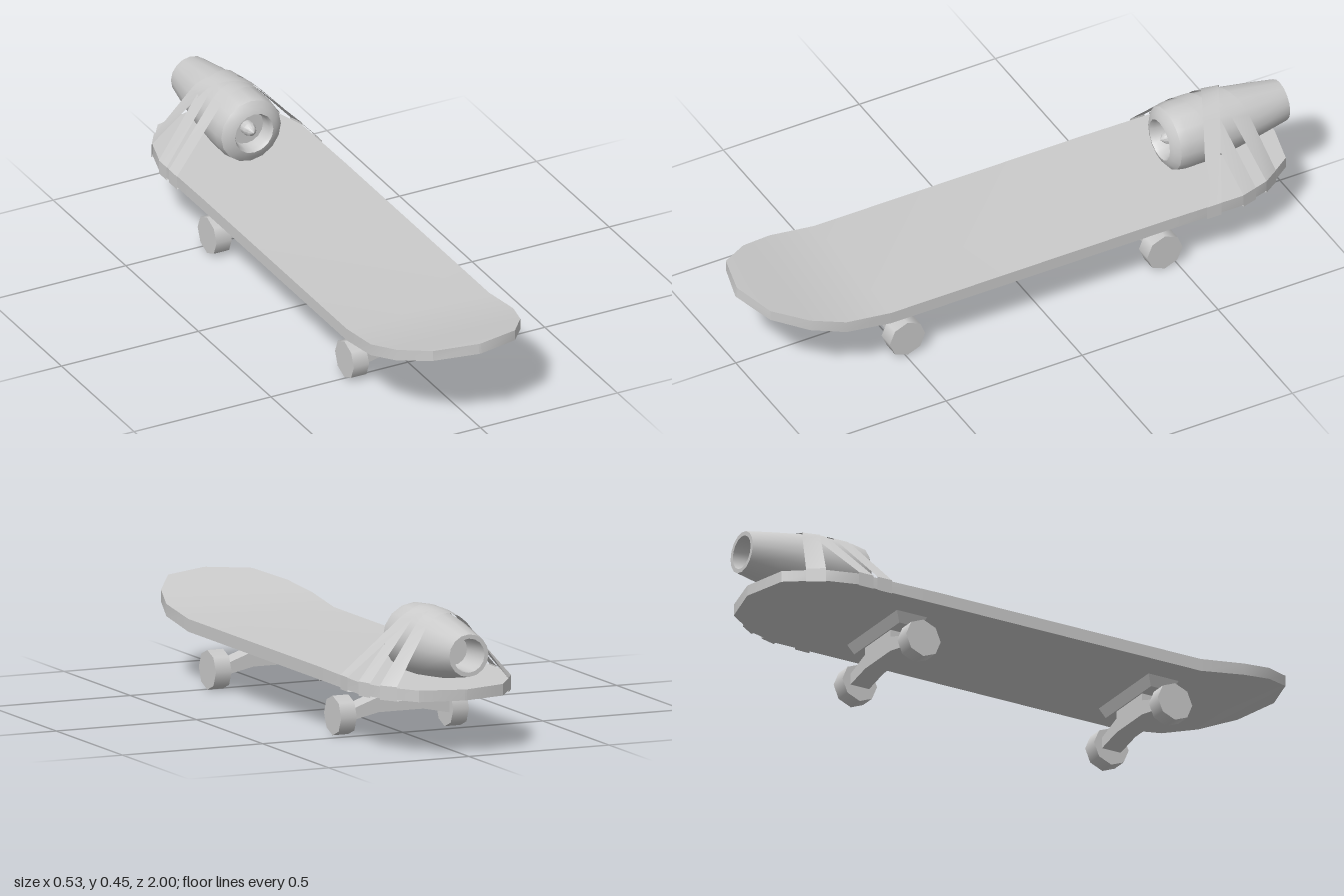
import * as THREE from 'three';
import { toCreasedNormals } from 'three/addons/utils/BufferGeometryUtils.js';

const AXIS_Y = 0.33; // height of the engine's axis

// deck stations from nose to tail: z, half width, underside y, top y
const DECK = [
  [0.995, 0.004, 0.272, 0.306], [0.955, 0.15, 0.262, 0.298], [0.85, 0.225, 0.232, 0.271],
  [0.735, 0.26, 0.205, 0.245], [0.57, 0.26, 0.18, 0.222], [-0.42, 0.26, 0.18, 0.222],
  [-0.72, 0.26, 0.179, 0.218], [-0.83, 0.228, 0.179, 0.218], [-0.94, 0.15, 0.179, 0.217],
  [-0.978, 0.004, 0.18, 0.216],
];

// engine profile from the exhaust bore, over the outside, into the intake: radius, z
const ENGINE = [
  [0, -0.88], [0.05, -0.88], [0.056, -1], [0.07, -1], [0.088, -0.9], [0.104, -0.8], [0.113, -0.7],
  [0.114, -0.61], [0.109, -0.58], [0.088, -0.564], [0.07, -0.558], [0.063, -0.572],
  [0.06, -0.61], [0, -0.61],
];

// linear lookup in a table of [position, value] pairs sorted by falling position
function lookup(table, z) {
  for (let i = 1; i < table.length; i++) {
    const [z0, v0] = table[i - 1], [z1, v1] = table[i];
    if (z >= z1) return THREE.MathUtils.mapLinear(Math.min(z, z0), z0, z1, v0, v1);
  }
  return table[table.length - 1][1];
}
const deckHalfWidth = (z) => lookup(DECK.map((s) => [s[0], s[1]]), z);
const engineRadius = (z) => lookup(ENGINE.slice(3, 9).map(([r, p]) => [p, r]).reverse(), z);

function indexed(positions, index) {
  const g = new THREE.BufferGeometry();
  g.setAttribute('position', new THREE.Float32BufferAttribute(positions, 3));
  g.setIndex(index);
  return g;
}

function createDeck() {
  const pos = [], idx = [];
  DECK.forEach(([z, w, bottom, top], i) => {
    pos.push(-w, top, z, -w, bottom, i === 0 ? 1 : z, w, bottom, i === 0 ? 1 : z, w, top, z);
    if (i === 0) return;
    for (let j = 0; j < 4; j++) {
      const k = (j + 1) % 4, p = (i - 1) * 4, q = i * 4;
      idx.push(p + j, q + j, q + k, p + j, q + k, p + k);
    }
  });
  // end caps
  const e = (DECK.length - 1) * 4;
  idx.push(0, 1, 2, 0, 2, 3, e, e + 2, e + 1, e, e + 3, e + 2);
  return toCreasedNormals(indexed(pos, idx), 0.5);
}

function createBasePlate() {
  const g = new THREE.BoxGeometry(0.314, 0.037, 0.115);
  const p = g.attributes.position;
  for (let i = 0; i < p.count; i++) {
    if (p.getY(i) < 0) p.setXYZ(i, p.getX(i) * 0.905, p.getY(i), p.getZ(i) * 0.68);
  }
  return toCreasedNormals(g, 0.3);
}

function createHanger() {
  const half = [[0.08, 0.147], [0.08, 0.12], [0.175, 0.087], [0.175, 0.05], [0.08, 0.07]];
  const outline = [...half, ...half.map(([x, y]) => [-x, y]).reverse()];
  const shape = new THREE.Shape(outline.map(([x, y]) => new THREE.Vector2(x, y)));
  return new THREE.ExtrudeGeometry(shape, { depth: 0.07, bevelEnabled: false }).translate(0, 0, -0.035);
}

// one edge of a strap: a closed loop under the deck and over the engine
function strapEdge(zRight, zLeft, lift) {
  const wR = deckHalfWidth(zRight) + 0.004, wL = deckHalfWidth(zLeft) + 0.004;
  const zAt = (x) => THREE.MathUtils.mapLinear(x, -wR, wL, zRight, zLeft);
  const r = engineRadius((zRight + zLeft) / 2) + lift;
  const tangent = (w) => Math.acos(r / Math.hypot(w, AXIS_Y - 0.22)) - Math.atan2(AXIS_Y - 0.22, w);
  const a0 = tangent(wL), a1 = Math.PI - tangent(wR);
  const pts = [[wL, 0.175, zLeft], [wL, 0.222, zLeft]];
  for (let i = 0; i <= 8; i++) {
    const a = a0 + (a1 - a0) * i / 8;
    const x = Math.cos(a), z = zAt(x * r);
    const local = engineRadius(z) + lift;
    pts.push([x * local, AXIS_Y + Math.sin(a) * local, z]);
  }
  pts.push([-wR, 0.222, zRight], [-wR, 0.175, zRight]);
  return pts;
}

function createStrap(zRight, zLeft, lift) {
  const h = 0.027;
  const front = strapEdge(zRight + h, zLeft + h, lift);
  const back = strapEdge(zRight - h, zLeft - h, lift);
  const n = front.length, idx = [];
  for (let i = 0; i < n; i++) {
    const a = i, b = (i + 1) % n;
    idx.push(a, a + n, b + n, a, b + n, b);
  }
  // orient the faces outwards
  for (let i = 0; i < idx.length; i += 3) [idx[i + 1], idx[i + 2]] = [idx[i + 2], idx[i + 1]];
  return toCreasedNormals(indexed([...front, ...back].flat(), idx), 0.5);
}

function latheAlongZ(profile, sides) {
  const g = new THREE.LatheGeometry(profile.map(([r, z]) => new THREE.Vector2(r, z)), sides);
  return toCreasedNormals(g.rotateX(Math.PI / 2), 0.6);
}

export function createModel() {
  const model = new THREE.Group();
  model.name = 'jetSkateboard';
  const grey = new THREE.MeshStandardMaterial({ color: 0xcccccc });
  const thin = new THREE.MeshStandardMaterial({ color: 0xcccccc, side: THREE.DoubleSide });
  const add = (parent, name, geometry, material = grey) => {
    const mesh = new THREE.Mesh(geometry, material);
    mesh.name = name;
    parent.add(mesh);
    return mesh;
  };

  add(model, 'deck', createDeck());

  // trucks with a pair of eight-sided wheels each
  for (const [name, z] of [['frontTruck', 0.493], ['rearTruck', -0.453]]) {
    const truck = new THREE.Group();
    truck.name = name;
    truck.position.z = z;
    add(truck, 'basePlate', createBasePlate()).position.y = 0.163;
    add(truck, 'hanger', createHanger());
    for (const side of [-1, 1]) {
      const wheel = new THREE.CylinderGeometry(0.065, 0.065, 0.056, 8).rotateZ(Math.PI / 2);
      add(truck, side > 0 ? 'leftWheel' : 'rightWheel', wheel).position.set(side * 0.2, 0.065, 0);
    }
    model.add(truck);
  }

  // jet engine lying on the tail
  const engine = new THREE.Group();
  engine.name = 'engine';
  engine.position.y = AXIS_Y;
  add(engine, 'engineShell', latheAlongZ(ENGINE, 16));
  add(engine, 'spinner', latheAlongZ([[0.024, -0.61], [0.023, -0.59], [0.015, -0.572], [0, -0.56]], 12));
  model.add(engine);

  // crossed straps: z at the right edge, z at the left edge
  [[-0.62, -0.75], [-0.69, -0.85], [-0.85, -0.615]].forEach(([zRight, zLeft], i) => {
    add(model, 'strap' + (i + 1), createStrap(zRight, zLeft, 0.003 + i * 0.002), thin);
  });
  return model;
}
